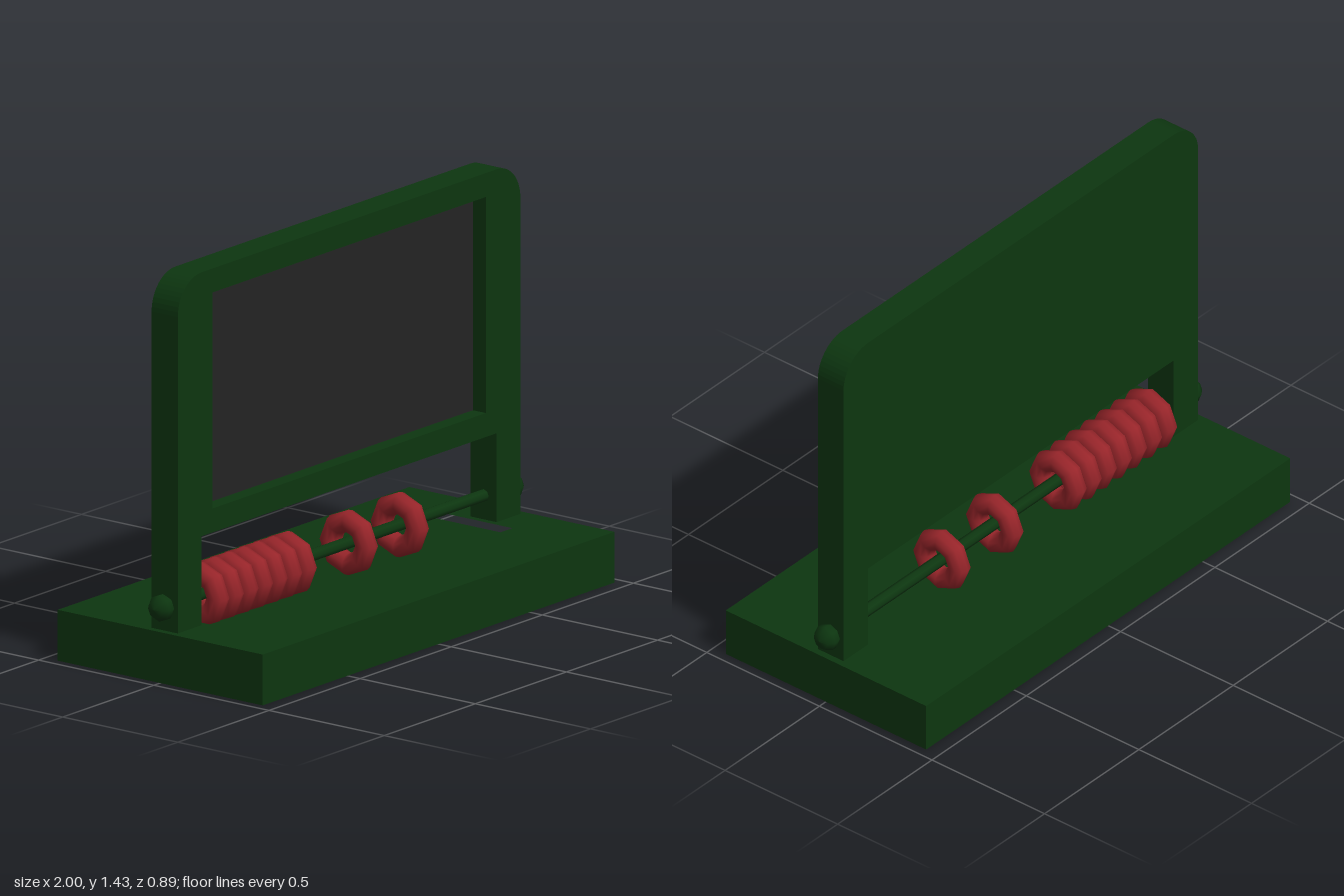
import * as THREE from 'three';

const green = new THREE.MeshStandardMaterial({ color: 0x0d3610 });
green.name = 'dark green paint';
const slate = new THREE.MeshStandardMaterial({ color: 0x242424 });
slate.name = 'slate';
const red = new THREE.MeshStandardMaterial({ color: 0x98252a });
red.name = 'red bead';

const ROD_Y = 0.265, BASE_TOP = 0.18;

function rectPath(x, y0, y1) {
  return new THREE.Path([[-x, y0], [-x, y1], [x, y1], [x, y0]].map(p => new THREE.Vector2(...p)));
}

// Upright outline: rounded top corners and an opening between two legs
function uprightShape() {
  const w = 0.94, top = 1.43, r = 0.13, leg = 0.81, sill = 0.495;
  const s = new THREE.Shape();
  s.moveTo(leg, BASE_TOP);
  s.lineTo(w, BASE_TOP);
  s.lineTo(w, top - r);
  s.absarc(w - r, top - r, r, 0, Math.PI / 2, false);
  s.lineTo(-w + r, top);
  s.absarc(-w + r, top - r, r, Math.PI / 2, Math.PI, false);
  s.lineTo(-w, BASE_TOP);
  s.lineTo(-leg, BASE_TOP);
  s.lineTo(-leg, sill);
  s.lineTo(leg, sill);
  s.closePath();
  return s;
}

function extrude(shape, depth) {
  return new THREE.ExtrudeGeometry(shape, { depth, bevelEnabled: false, curveSegments: 6 });
}

export function createModel() {
  const model = new THREE.Group();
  model.name = 'abacusBoard';
  const add = (name, geometry, material, x = 0, y = 0, z = 0) => {
    const mesh = new THREE.Mesh(geometry, material);
    mesh.name = name;
    mesh.position.set(x, y, z);
    model.add(mesh);
    return mesh;
  };

  // Base: solid floor with a rim around the bead trough
  const floor = 0.09;
  add('baseFloor', new THREE.BoxGeometry(1.93, floor, 0.89), green, 0, floor / 2, 0);
  const rim = new THREE.Shape(rectPath(0.965, -0.445, 0.445).getPoints());
  rim.holes.push(rectPath(0.785, -0.145, 0.145));
  add('baseRim', extrude(rim, BASE_TOP - floor).rotateX(-Math.PI / 2), green, 0, floor, 0);

  // Upright: full back panel, and a front frame around the slate
  const back = -0.057, inset = -0.005;
  add('backPanel', extrude(uprightShape(), inset - back), green, 0, 0, back);
  const frame = uprightShape();
  frame.holes.push(rectPath(0.75, 0.58, 1.345));
  add('frontFrame', extrude(frame, 0.057 - inset), green, 0, 0, inset);
  add('slate', new THREE.BoxGeometry(1.5, 0.765, 0.006), slate, 0, 0.9625, inset + 0.003);

  // Rod through both legs, with a rounded knob at each end
  add('rod', new THREE.CylinderGeometry(0.022, 0.022, 1.9, 8).rotateZ(Math.PI / 2), green, 0, ROD_Y, 0);
  const profile = [[0.035, -0.012], [0.047, 0.012], [0.047, 0.03], [0.03, 0.053], [0, 0.06]]
    .map(p => new THREE.Vector2(...p));
  for (const side of [1, -1]) {
    const knob = new THREE.LatheGeometry(profile, 8).rotateZ(-Math.PI / 2 * side);
    add(side > 0 ? 'leftKnob' : 'rightKnob', knob, green, side * 0.94, ROD_Y, 0);
  }

  // Beads: seven pushed together, two spaced apart
  const bead = new THREE.TorusGeometry(0.077, 0.039, 10, 8).rotateY(Math.PI / 2);
  const spots = [0.07, 0.35];
  for (let i = 0; i < 7; i++) spots.push(-0.745 + i * 0.08);
  for (const x of spots) add('bead', bead, red, x, ROD_Y, 0);

  return model;
}
